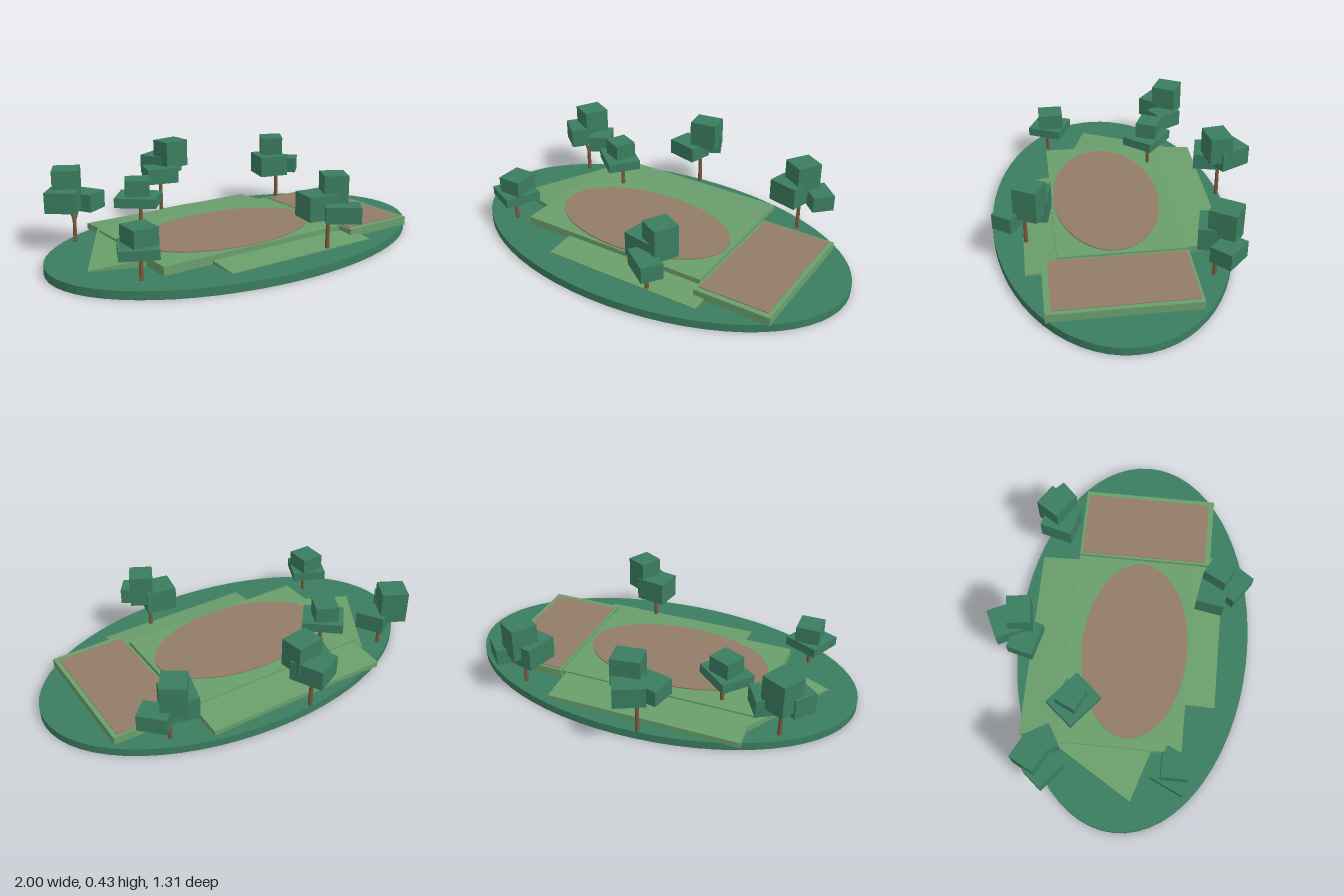
import * as THREE from 'three';

const mat = (color) => new THREE.MeshStandardMaterial({ color, flatShading: true });
const darkGreen = mat(0x3b7d60), lawnGreen = mat(0x6a9e6b), clay = mat(0x937c68), bark = mat(0x7a5a3c);
const GROUND = 0.04;

function add(parent, name, geometry, material, x = 0, y = 0, z = 0) {
  const mesh = new THREE.Mesh(geometry, material);
  mesh.name = name;
  mesh.position.set(x, y, z);
  parent.add(mesh);
  return mesh;
}

// Prism over an [x, z] outline whose top follows a height rule
function slab(parent, name, outline, height) {
  const shape = new THREE.Shape(outline.map(([x, z]) => new THREE.Vector2(x, -z)));
  const geo = new THREE.ExtrudeGeometry(shape, { depth: 1, bevelEnabled: false });
  geo.rotateX(-Math.PI / 2);
  const p = geo.attributes.position;
  for (let i = 0; i < p.count; i++) {
    p.setY(i, p.getY(i) > 0.5 ? height(p.getX(i), p.getZ(i)) : GROUND - 0.005);
  }
  geo.computeVertexNormals();
  return add(parent, name, geo, lawnGreen);
}

const rect = (x0, x1, z0, z1) => [[x0, z0], [x0, z1], [x1, z1], [x1, z0]];

// Elliptical disc
function disc(parent, name, material, x, z, rx, rz, y0, y1) {
  const mesh = add(parent, name, new THREE.CylinderGeometry(1, 1, y1 - y0, 64), material, x, (y0 + y1) / 2, z);
  mesh.scale.set(rx, 1, rz);
}

// Tapered limb between two points
function limb(parent, name, a, b, r0, r1) {
  const from = new THREE.Vector3(...a), to = new THREE.Vector3(...b);
  const dir = to.clone().sub(from);
  const mesh = add(parent, name, new THREE.CylinderGeometry(r1, r0, dir.length(), 8), bark);
  mesh.position.copy(from).addScaledVector(dir, 0.5);
  mesh.quaternion.setFromUnitVectors(new THREE.Vector3(0, 1, 0), dir.normalize());
}

// Tree: forked trunk with rotated boxes; each box is [x, z, y0, y1, width, depth, degrees]
function tree(parent, name, x, z, y0, fork, boxes) {
  const group = new THREE.Group();
  group.name = name;
  parent.add(group);
  limb(group, 'trunk', [x, y0, z], [x, fork, z], 0.011, 0.009);
  for (const [bx, bz, b0, b1, w, d, deg] of boxes) {
    const tip = [x + (bx - x) * 0.45, b0 + 0.02, z + (bz - z) * 0.45];
    limb(group, 'branch', [x, fork - 0.01, z], tip, 0.007, 0.005);
    const leaf = add(group, 'foliage', new THREE.BoxGeometry(w, b1 - b0, d), darkGreen, bx, (b0 + b1) / 2, bz);
    leaf.rotation.y = THREE.MathUtils.degToRad(deg);
  }
}

export function createModel() {
  const model = new THREE.Group();
  model.name = 'park';

  disc(model, 'ground', darkGreen, 0, 0.057, 1, 0.593, 0, GROUND);

  // Raised lawn with its oval clay field
  slab(model, 'mainTerrace', rect(-0.6, 0.41, -0.27, 0.35), () => 0.083);
  disc(model, 'ovalField', clay, -0.08, 0.07, 0.47, 0.27, 0.08, 0.089);

  // Sloping lawns around the terrace
  slab(model, 'backLawn', rect(-0.575, 0.39, -0.46, -0.27), (x, z) => 0.075 + (z + 0.27) * 0.06);
  slab(model, 'frontLawn', rect(-0.345, 0.475, 0.35, 0.5), (x, z) => 0.058 - (z - 0.35) * 0.09);
  slab(model, 'sideLawn', [[-0.85, 0.12], [-0.6, 0.2], [-0.575, -0.34]], (x) => 0.072 + (x + 0.6) * 0.1);

  // Rectangular court on its own platform
  slab(model, 'courtPlatform', rect(0.42, 0.8, -0.27, 0.425), () => 0.08);
  add(model, 'court', new THREE.BoxGeometry(0.345, 0.006, 0.655), clay, 0.605, 0.081, 0.07);

  // Trees
  tree(model, 'backLeftTree', -0.715, -0.3, GROUND, 0.15, [
    [-0.722, -0.355, 0.235, 0.395, 0.13, 0.13, -28],
    [-0.77, -0.295, 0.205, 0.305, 0.15, 0.115, -40],
    [-0.64, -0.325, 0.19, 0.275, 0.12, 0.14, 30],
  ]);
  tree(model, 'backTree', -0.105, -0.52, GROUND, 0.21, [
    [-0.055, -0.495, 0.29, 0.43, 0.14, 0.115, 8],
    [-0.14, -0.465, 0.22, 0.3, 0.165, 0.13, -14],
    [-0.08, -0.555, 0.247, 0.345, 0.15, 0.165, 26],
  ]);
  tree(model, 'backRightTree', 0.565, -0.36, GROUND, 0.18, [
    [0.555, -0.4, 0.235, 0.395, 0.12, 0.13, -33],
    [0.52, -0.37, 0.19, 0.3, 0.155, 0.165, -15],
    [0.65, -0.395, 0.185, 0.265, 0.14, 0.11, -45],
  ]);
  tree(model, 'frontTree', 0.212, 0.487, GROUND, 0.18, [
    [0.267, 0.457, 0.235, 0.395, 0.115, 0.12, -28],
    [0.187, 0.435, 0.19, 0.308, 0.155, 0.14, -10],
    [0.247, 0.547, 0.187, 0.265, 0.165, 0.105, -35],
  ]);
  tree(model, 'lawnTree', -0.405, -0.2, 0.08, 0.185, [
    [-0.42, -0.205, 0.25, 0.332, 0.115, 0.11, -25],
    [-0.42, -0.195, 0.205, 0.252, 0.205, 0.17, -40],
  ]);
  tree(model, 'frontLeftTree', -0.7, 0.335, GROUND, 0.125, [
    [-0.695, 0.315, 0.198, 0.28, 0.12, 0.13, 0],
    [-0.705, 0.32, 0.155, 0.2, 0.175, 0.18, -25],
  ]);

  return model;
}
